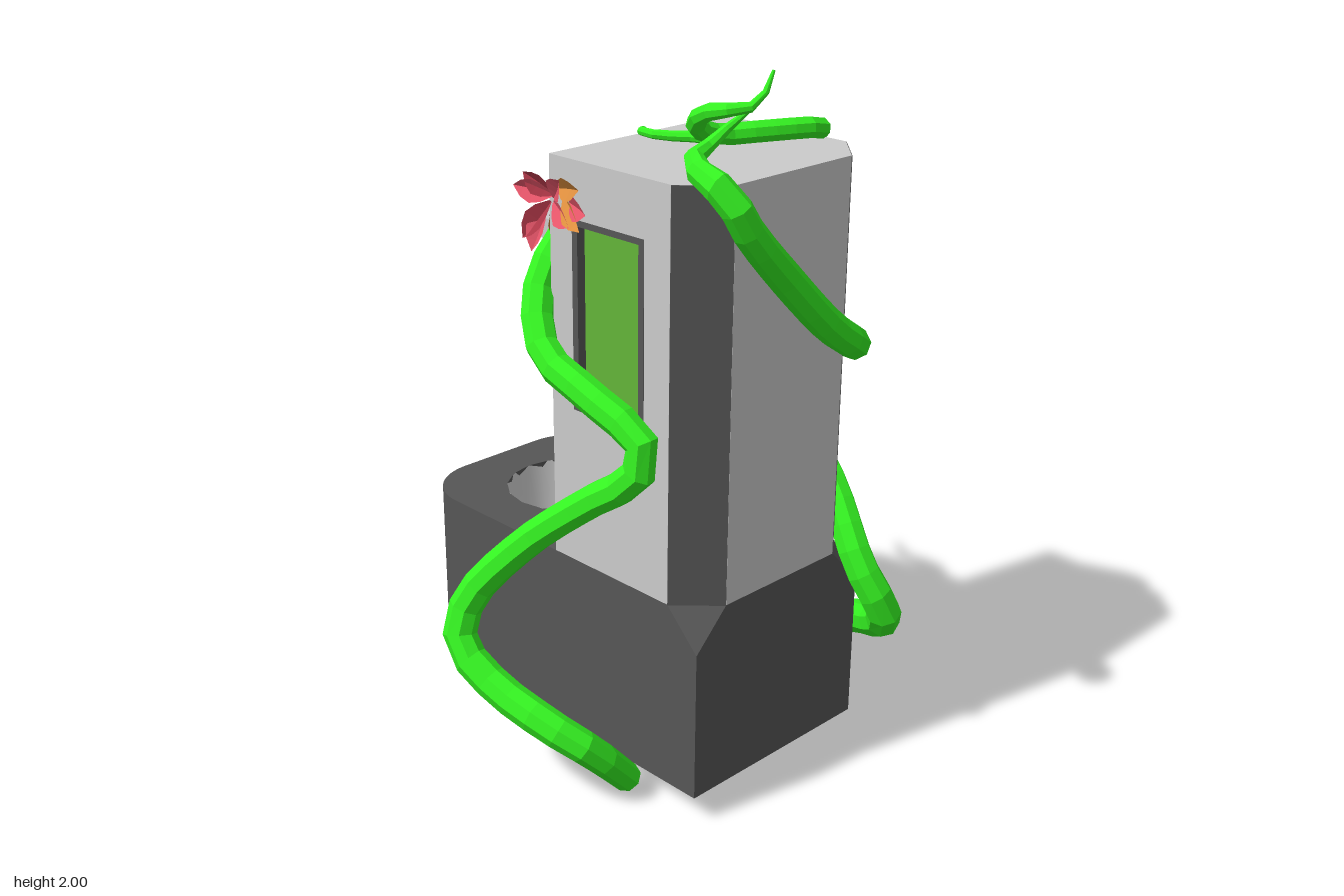
import * as THREE from 'three';
import { ConvexGeometry } from 'three/addons/geometries/ConvexGeometry.js';

const mat = (color, extra = {}) => {
  const m = new THREE.MeshStandardMaterial({ color, flatShading: true });
  return Object.assign(m, extra);
};
const V = (x, y, z) => new THREE.Vector3(x, y, z);

export function createModel() {
  const root = new THREE.Group();
  const light = mat(0xcccccc);
  const dark = mat(0x565656);
  const green = mat(0x35f322);
  const screenGreen = mat(0x64b539);
  const red = mat(0xe8566a, { side: THREE.DoubleSide });
  const crimson = mat(0xb03848, { side: THREE.DoubleSide });
  const orange = mat(0xe0903f, { side: THREE.DoubleSide });

  const add = (name, geometry, material, parent = root) => {
    const mesh = new THREE.Mesh(geometry, material);
    mesh.name = name;
    parent.add(mesh);
    return mesh;
  };
  // Extrude a floor plan (x, -z) upward from y0 to y1
  const raise = (shape, y0, y1) =>
    new THREE.ExtrudeGeometry(shape, { depth: y1 - y0, bevelEnabled: false, curveSegments: 8 })
      .rotateX(-Math.PI / 2).translate(0, y0, 0);
  const plan = (pts) => new THREE.Shape(pts.map(([x, z]) => new THREE.Vector2(x, -z)));

  // Base: rounded on one end, with a cup well sunk into the top
  const cup = { x: -0.335, z: -0.065, r: 0.19, floor: 0.4 };
  const basePlan = (withHole) => {
    const s = new THREE.Shape();
    const r = 0.18;
    s.moveTo(0.41, -0.26);
    s.lineTo(0.52, -0.15);
    s.lineTo(0.52, 0.28);
    s.lineTo(0.41, 0.39);
    s.lineTo(-0.66 + r, 0.39);
    s.absarc(-0.66 + r, 0.39 - r, r, Math.PI / 2, Math.PI, false);
    s.lineTo(-0.66, -0.26 + r);
    s.absarc(-0.66 + r, -0.26 + r, r, Math.PI, Math.PI * 1.5, false);
    if (withHole) {
      const h = new THREE.Path();
      h.absarc(cup.x, -cup.z, cup.r, 0, Math.PI * 2, true);
      s.holes.push(h);
    }
    return s;
  };
  add('baseLower', raise(basePlan(false), 0.08, cup.floor), dark);
  add('baseUpper', raise(basePlan(true), cup.floor, 0.63), dark);
  // Square lower corners that blend into the tower chamfers
  for (const [z, zi] of [[0.26, 0.15], [-0.39, -0.28]]) {
    add('baseCorner', new ConvexGeometry([
      V(0.41, 0.08, z), V(0.52, 0.08, z), V(0.52, 0.08, zi),
      V(0.41, 0.63, z), V(0.52, 0.63, zi), V(0.52, 0.52, z),
    ]), dark);
  }
  const well = [[0.135, cup.floor + 0.003], [0.165, 0.5], [cup.r, 0.63]];
  add('cupWell', new THREE.LatheGeometry(well.map(([r, y]) => new THREE.Vector2(r, y)), 24),
    mat(0xcccccc, { side: THREE.DoubleSide, flatShading: false })).position.set(cup.x, 0, cup.z);

  // Tower with a front panel that leaves the screen recessed
  add('tower', raise(plan([[-0.03, -0.39], [0.41, -0.39], [0.52, -0.28], [0.52, 0.15],
    [0.41, 0.26], [0.41, 0.23], [-0.03, 0.23]]), 0.63, 1.76), light);
  const rect = (x0, y0, x1, y1, C = THREE.Shape) => new C(
    [[x0, y0], [x1, y0], [x1, y1], [x0, y1]].map(([x, y]) => new THREE.Vector2(x, y)));
  const framed = (outer, inner, z0, z1) => {
    const s = rect(...outer);
    s.holes.push(rect(...inner, THREE.Path));
    return new THREE.ExtrudeGeometry(s, { depth: z1 - z0, bevelEnabled: false }).translate(0, 0, z0);
  };
  const opening = [0.055, 1.08, 0.32, 1.605];
  const glass = [0.075, 1.1, 0.3, 1.588];
  add('frontPanel', framed([-0.03, 0.63, 0.41, 1.76], opening, 0.23, 0.26), light);
  add('screenFrame', framed(opening, glass, 0.225, 0.261), dark);
  add('screen', new THREE.BoxGeometry(0.235, 0.5, 0.01), screenGreen).position.set(0.1875, 1.344, 0.23);
  // Dark strips over both chamfers
  for (const [z, turn] of [[0.205, 1], [-0.335, -1]]) {
    const strip = add('chamferStrip', new THREE.BoxGeometry(0.1545, 1.13, 0.004), dark);
    strip.position.set(0.465, 1.194, z);
    strip.rotation.y = turn > 0 ? Math.PI / 4 : -Math.PI / 4;
  }

  // Spout: flat tongue thinning to a round tip, with a wedge beneath
  const tongue = new THREE.Shape();
  tongue.moveTo(-0.03, 0.185);
  tongue.lineTo(-0.13, 0.18);
  tongue.lineTo(-0.35, 0.165);
  tongue.absarc(-0.36, 0.065, 0.1, Math.PI / 2, Math.PI * 1.5, false);
  tongue.lineTo(-0.13, -0.05);
  tongue.lineTo(-0.03, -0.055);
  const spout = raise(tongue, 1.43, 1.51);
  const sp = spout.attributes.position;
  for (let i = 0; i < sp.count; i++) {
    if (sp.getY(i) > 1.5) sp.setY(i, 1.51 - 0.035 * THREE.MathUtils.smoothstep(-sp.getX(i), 0.13, 0.46));
  }
  add('spout', spout, light);
  const wedge = new THREE.Shape([[-0.15, 1.43], [-0.03, 1.31], [-0.03, 1.43]].map((p) => new THREE.Vector2(...p)));
  add('spoutWedge', new THREE.ExtrudeGeometry(wedge, { depth: 0.23, bevelEnabled: false })
    .translate(0, 0, -0.18), light);

  // Tapered vine: a tube whose rings are scaled along its length
  const vine = (name, radii, pts) => {
    const sides = 8;
    const n = pts.length * 2;
    const curve = new THREE.CatmullRomCurve3(pts.map((p) => V(...p)), false, 'centripetal');
    const g = new THREE.TubeGeometry(curve, n, 1, sides, false);
    const pos = g.attributes.position;
    const v = V(0, 0, 0);
    for (let i = 0; i <= n; i++) {
      const c = curve.getPointAt(i / n);
      const t = (i / n) * (radii.length - 1);
      const k = Math.min(Math.floor(t), radii.length - 2);
      const r = THREE.MathUtils.lerp(radii[k], radii[k + 1], t - k);
      for (let j = 0; j <= sides; j++) {
        const id = i * (sides + 1) + j;
        v.fromBufferAttribute(pos, id).sub(c).multiplyScalar(r).add(c);
        pos.setXYZ(id, v.x, v.y, v.z);
      }
    }
    add(name, g, green);
    const start = curve.getPointAt(0);
    const cap = add(name + 'End', new THREE.CircleGeometry(radii[0], sides), green);
    cap.position.copy(start);
    cap.lookAt(start.clone().sub(curve.getTangentAt(0)));
  };
  vine('frontVine', [0.042, 0.048, 0.048, 0.046, 0.046, 0.045, 0.045, 0.03, 0.004], [
    [0.27, 0.03, 0.27], [0.28, 0.18, 0.41], [0.2, 0.25, 0.48], [0, 0.33, 0.53], [-0.11, 0.42, 0.545],
    [-0.115, 0.53, 0.51], [0.02, 0.72, 0.42], [0.2, 0.88, 0.35], [0.35, 1.0, 0.31], [0.355, 1.08, 0.3],
    [0.2, 1.17, 0.325], [0.02, 1.25, 0.33], [-0.07, 1.38, 0.27], [-0.085, 1.5, 0.18], [-0.1, 1.57, 0.05],
    [-0.16, 1.58, -0.08], [-0.22, 1.53, -0.18], [-0.32, 1.42, -0.27], [-0.39, 1.36, -0.385]]);
  vine('backVine', [0.045, 0.05, 0.05, 0.045, 0.045, 0.045, 0.045, 0.045, 0.04, 0.006], [
    [0.14, 0.04, -0.42], [0.17, 0.15, -0.5], [0.25, 0.23, -0.545], [0.42, 0.3, -0.53], [0.58, 0.38, -0.45],
    [0.61, 0.44, -0.41], [0.55, 0.58, -0.365], [0.42, 0.76, -0.4], [0.25, 0.9, -0.45], [0.1, 1.02, -0.505],
    [0.075, 1.08, -0.51], [0.15, 1.16, -0.47], [0.35, 1.2, -0.425], [0.52, 1.24, -0.33], [0.56, 1.34, -0.17],
    [0.56, 1.5, 0.0], [0.57, 1.66, 0.16], [0.55, 1.75, 0.21], [0.47, 1.79, 0.22], [0.4, 1.81, 0.17],
    [0.385, 1.83, 0.09], [0.41, 1.88, 0.04], [0.44, 1.91, 0.02]]);
  vine('topVine', [0.026, 0.03, 0.03, 0.028, 0.03, 0.03, 0.024, 0.004], [
    [0.28, 1.14, -0.42], [0.23, 1.28, -0.445], [0.15, 1.42, -0.43], [0.05, 1.55, -0.42], [0.07, 1.63, -0.42],
    [0.27, 1.75, -0.42], [0.34, 1.79, -0.36], [0.3, 1.8, -0.2], [0.24, 1.8, -0.08], [0.26, 1.84, 0.02],
    [0.33, 1.89, 0.065], [0.41, 1.91, 0.06], [0.45, 1.92, 0.01], [0.455, 1.95, -0.02], [0.46, 2.0, -0.04]]);
  vine('tendril', [0.018, 0.012, 0.01, 0.003], [
    [0.24, 1.79, -0.06], [0.17, 1.78, -0.09], [0.1, 1.775, -0.06], [0.02, 1.775, -0.03],
    [-0.035, 1.765, -0.08], [-0.042, 1.65, -0.13], [-0.042, 1.45, -0.34]]);

  // Pointed, slightly cupped petal growing along +y
  const petalGeo = new THREE.PlaneGeometry(1, 1, 2, 4).translate(0, 0.5, 0);
  const pp = petalGeo.attributes.position;
  for (let i = 0; i < pp.count; i++) {
    const x = pp.getX(i), y = pp.getY(i);
    const w = [0.15, 0.75, 1, 0.7, 0][Math.round(y * 4)];
    pp.setXYZ(i, x * w, y, Math.abs(x) * w * 0.35 + 0.15 * y * y);
  }
  const petal = (parent, material, base, dir, normal, length, width) => {
    const y = V(...dir).normalize();
    const x = y.clone().cross(V(...normal)).normalize();
    const z = x.clone().cross(y);
    const m = add('petal', petalGeo, material, parent);
    m.quaternion.setFromRotationMatrix(new THREE.Matrix4().makeBasis(x, y, z));
    m.position.set(...base);
    m.scale.set(width, length, length);
  };
  const cluster = (name) => {
    const g = new THREE.Group();
    g.name = name;
    root.add(g);
    return g;
  };

  // Blossom at the upper front corner
  const front = cluster('frontBlossom');
  for (const [x, y, dx, dy, len, m] of [
    [0.02, 1.68, 1, 0.2, 0.13, orange], [0.04, 1.66, 1, -0.7, 0.12, orange], [0.06, 1.65, 1, -0.1, 0.1, red],
    [0.0, 1.66, -1, 0.1, 0.12, red], [-0.01, 1.64, -0.6, -0.9, 0.13, crimson], [0.0, 1.65, 0.5, 0.5, 0.1, red],
    [0.0, 1.64, 0.9, -0.4, 0.11, red], [-0.03, 1.62, -0.15, -1, 0.12, red], [0, 1.66, -0.8, 0.5, 0.1, crimson],
  ]) petal(front, m, [x, y, 0.272], [dx, dy, 0.18], [0, 0, 1], len, 0.065);
  for (let i = 0; i < 4; i++) {
    petal(front, i % 2 ? orange : crimson, [-0.036, 1.65 - i * 0.02, 0.25], [-0.3, 0.3 - i * 0.35, -1], [-1, 0, 0], 0.12, 0.05);
  }

  // Petals climbing the rear corner
  const rear = cluster('rearBlossom');
  const tones = [red, crimson, orange];
  for (let i = 0; i < 14; i++) {
    const t = i / 13;
    petal(rear, tones[i % 3], [-0.036, 0.76 + 0.28 * t, -0.38 + 0.09 * t],
      [-0.25, 1, (i % 2 ? 0.55 : -0.45)], [-1, 0, 0], 0.13 - 0.02 * t, 0.06);
  }
  for (let i = 0; i < 7; i++) {
    const a = -0.3 + i * 0.4;
    petal(rear, tones[i % 3], [0.01, 0.76, -0.397], [Math.cos(a), 0.6 * Math.sin(a), -0.4], [0, 0, -1], 0.13, 0.06);
  }
  petal(rear, red, [-0.02, 0.78, -0.39], [-1, 0.1, -0.3], [0, 1, 0], 0.11, 0.06);
  petal(rear, orange, [-0.02, 0.8, -0.39], [-1, 0.3, -0.6], [0, 0, -1], 0.09, 0.05);

  // Fallen petal on the spout
  petal(cluster('spoutPetal'), red, [-0.22, 1.513, -0.04], [-1, 0.0, -0.28], [0, 1, 0], 0.145, 0.065);
  return root;
}
